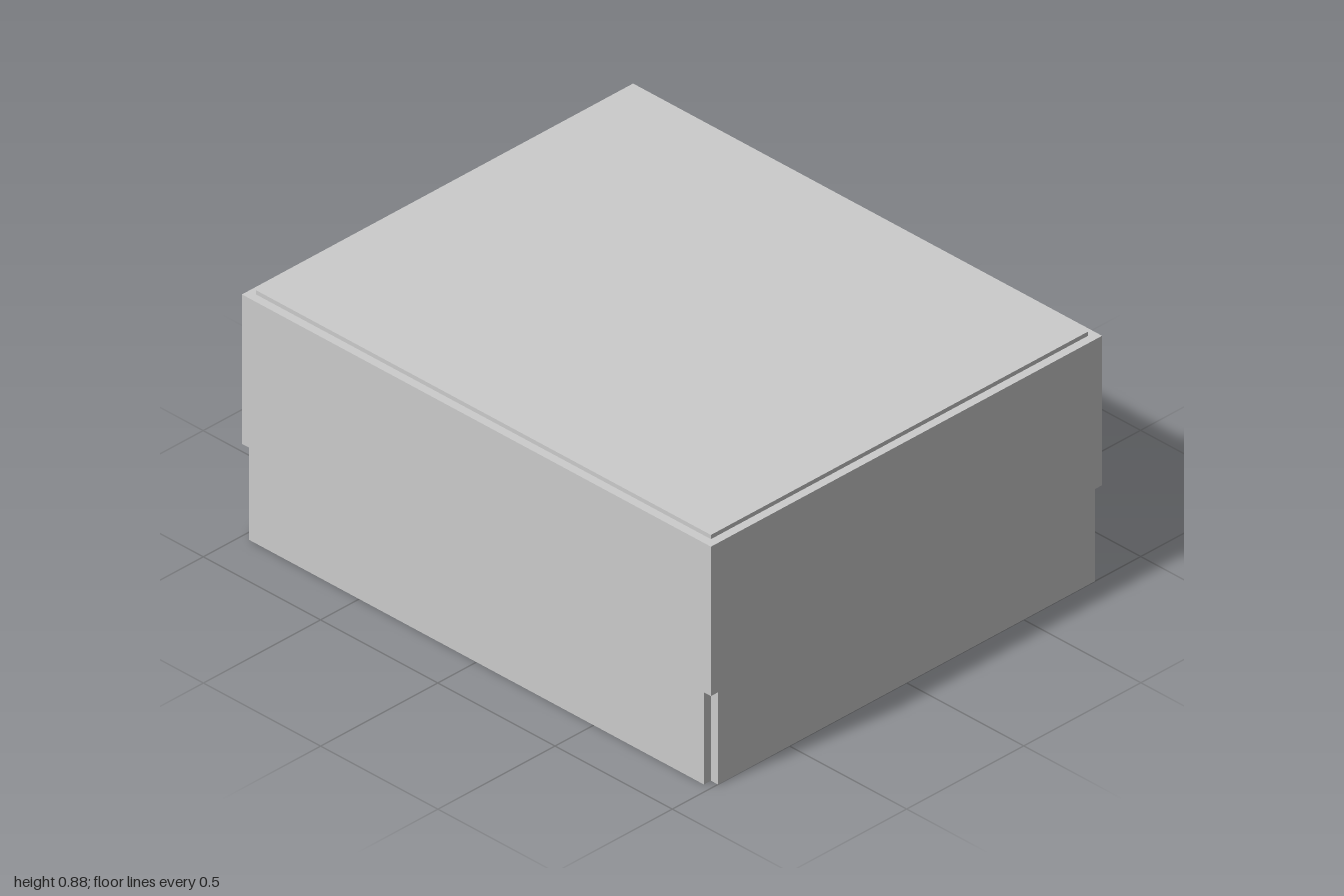
import * as THREE from 'three';

const HX = 1, HZ = 0.835, T = 0.03;      // half sizes and panel thickness
const TOP = 0.865, NOTCH = 0.33, LIP = 0.02;
const IX = HX - T, IZ = HZ - T;          // inner half sizes
const NX = 18, NZ = 15;                  // joint fingers along x and z
const DOOR = [8, 11], DOOR_H = 0.32;     // doorway, in finger steps

const material = new THREE.MeshStandardMaterial({ color: 0xcccccc });

export function createModel() {
  const group = new THREE.Group();

  const add = (geometry, name, x = 0, y = 0, z = 0) => {
    const mesh = new THREE.Mesh(geometry, material);
    mesh.name = name;
    mesh.position.set(x, y, z);
    group.add(mesh);
    return mesh;
  };

  // Upright panel with a fingered lower edge, optional doorway and wider upper part
  const wall = (half, upperHalf, count, door) => {
    const step = (2 * half) / count;
    const shape = new THREE.Shape();
    shape.moveTo(-half, NOTCH);
    for (let i = 0; i < count; i++) {
      const inDoor = door && i >= door[0] && i < door[1];
      const y = inDoor ? DOOR_H : i % 2 ? LIP : 0;
      shape.lineTo(-half + i * step, y);
      shape.lineTo(-half + (i + 1) * step, y);
    }
    shape.lineTo(half, NOTCH);
    if (upperHalf > half) shape.lineTo(upperHalf, NOTCH);
    shape.lineTo(upperHalf, TOP);
    shape.lineTo(-upperHalf, TOP);
    if (upperHalf > half) shape.lineTo(-upperHalf, NOTCH);
    return new THREE.ExtrudeGeometry(shape, { depth: T, bevelEnabled: false });
  };

  // Front and back walls, notched at the lower corners
  add(wall(IX, HX, NX), 'frontWall', 0, 0, IZ);
  add(wall(IX, HX, NX, DOOR), 'backWall', 0, 0, -HZ);

  // Side walls fit between the front and back
  for (const [name, x] of [['leftWall', IX], ['rightWall', -HX]]) {
    add(wall(IZ, IZ, NZ).rotateY(Math.PI / 2), name, x);
  }

  // Floor and raised roof panel
  add(new THREE.BoxGeometry(2 * IX, LIP, 2 * IZ), 'floor', 0, LIP / 2, 0);
  add(new THREE.BoxGeometry(2 * IX, T, 2 * IZ), 'roof', 0, 0.88 - T / 2, 0);

  // Floor tabs filling the gaps between the wall fingers
  const stepX = (2 * IX) / NX, stepZ = (2 * IZ) / NZ;
  for (const side of [-1, 1]) {
    for (let i = 1; i < NX; i += 2) {
      if (side < 0 && i >= DOOR[0] && i < DOOR[1]) continue;
      add(new THREE.BoxGeometry(stepX, LIP, T), 'floorTab',
        -IX + (i + 0.5) * stepX, LIP / 2, side * (HZ - T / 2));
    }
    for (let i = 1; i < NZ; i += 2) {
      add(new THREE.BoxGeometry(T, LIP, stepZ), 'floorTab',
        side * (HX - T / 2), LIP / 2, IZ - (i + 0.5) * stepZ);
    }
  }
  return group;
}
